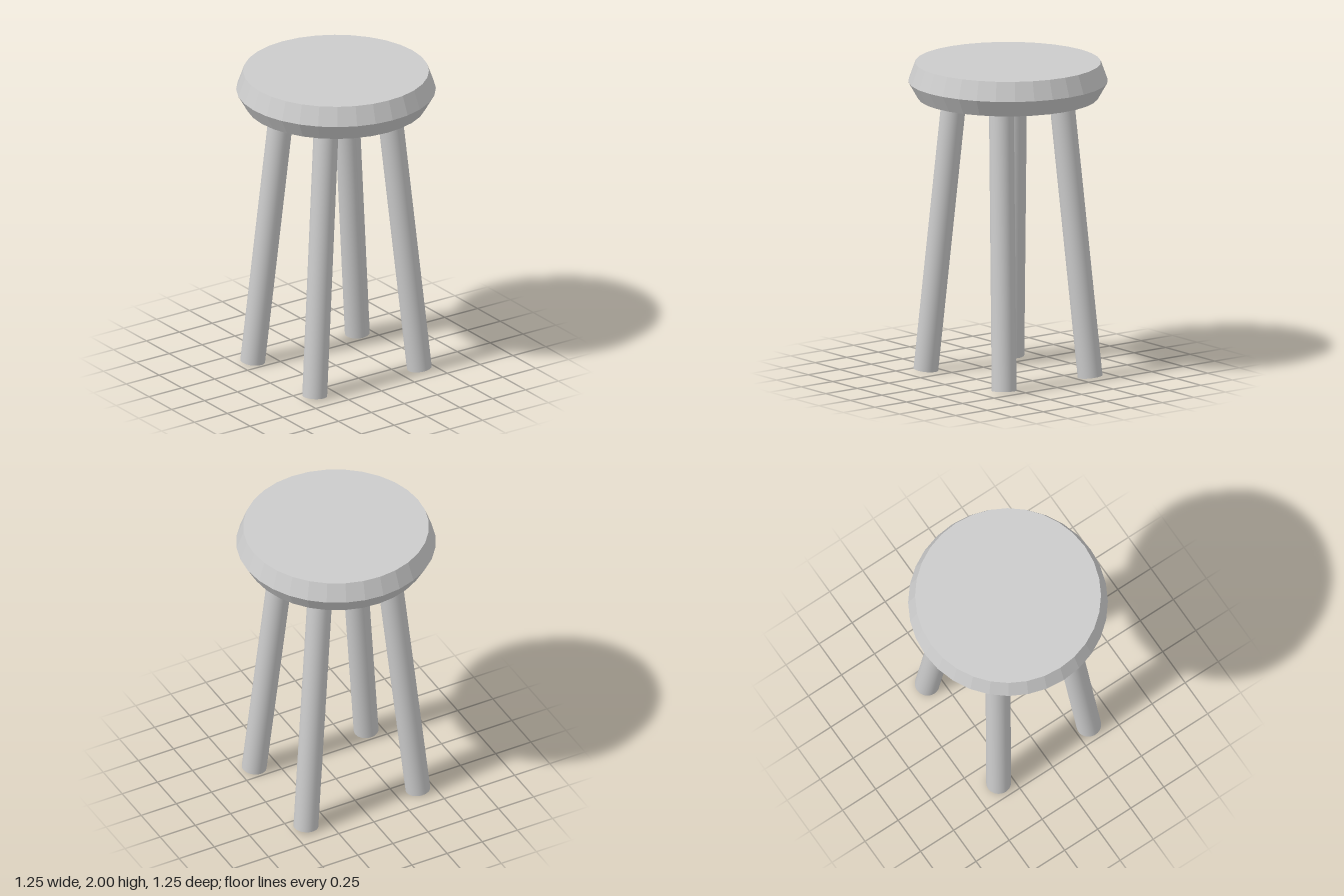
import * as THREE from 'three';

export function createModel() {
  const group = new THREE.Group();
  group.name = 'stool';
  const material = new THREE.MeshStandardMaterial({ color: 0xcccccc });
  const facetedMaterial = new THREE.MeshStandardMaterial({ color: 0xcccccc, flatShading: true });

  // Round seat: faceted disc, widest below its middle
  const profile = [[0, 1.775], [0.565, 1.775], [0.625, 1.88], [0.582, 2], [0, 2]]
    .map(([r, y]) => new THREE.Vector2(r, y));
  const seat = new THREE.Mesh(new THREE.LatheGeometry(profile, 32), facetedMaterial);
  seat.name = 'seat';
  group.add(seat);

  // Four straight round legs, splayed outward and cut square to their axes
  const up = new THREE.Vector3(0, 1, 0);
  const addLeg = (name, sx, sz) => {
    const foot = new THREE.Vector3(0.398 * sx, 0.009, 0.341 * sz);
    const head = new THREE.Vector3(0.235 * sx, 1.82, 0.236 * sz);
    const axis = head.clone().sub(foot);
    const leg = new THREE.Mesh(new THREE.CylinderGeometry(0.078, 0.078, axis.length(), 32), material);
    leg.position.copy(foot).add(head).multiplyScalar(0.5);
    leg.quaternion.setFromUnitVectors(up, axis.normalize());
    leg.name = name;
    group.add(leg);
  };
  for (const [side, sx] of [['Left', 1], ['Right', -1]]) {
    addLeg('front' + side + 'Leg', sx, 1);
    addLeg('back' + side + 'Leg', sx, -1);
  }
  return group;
}
